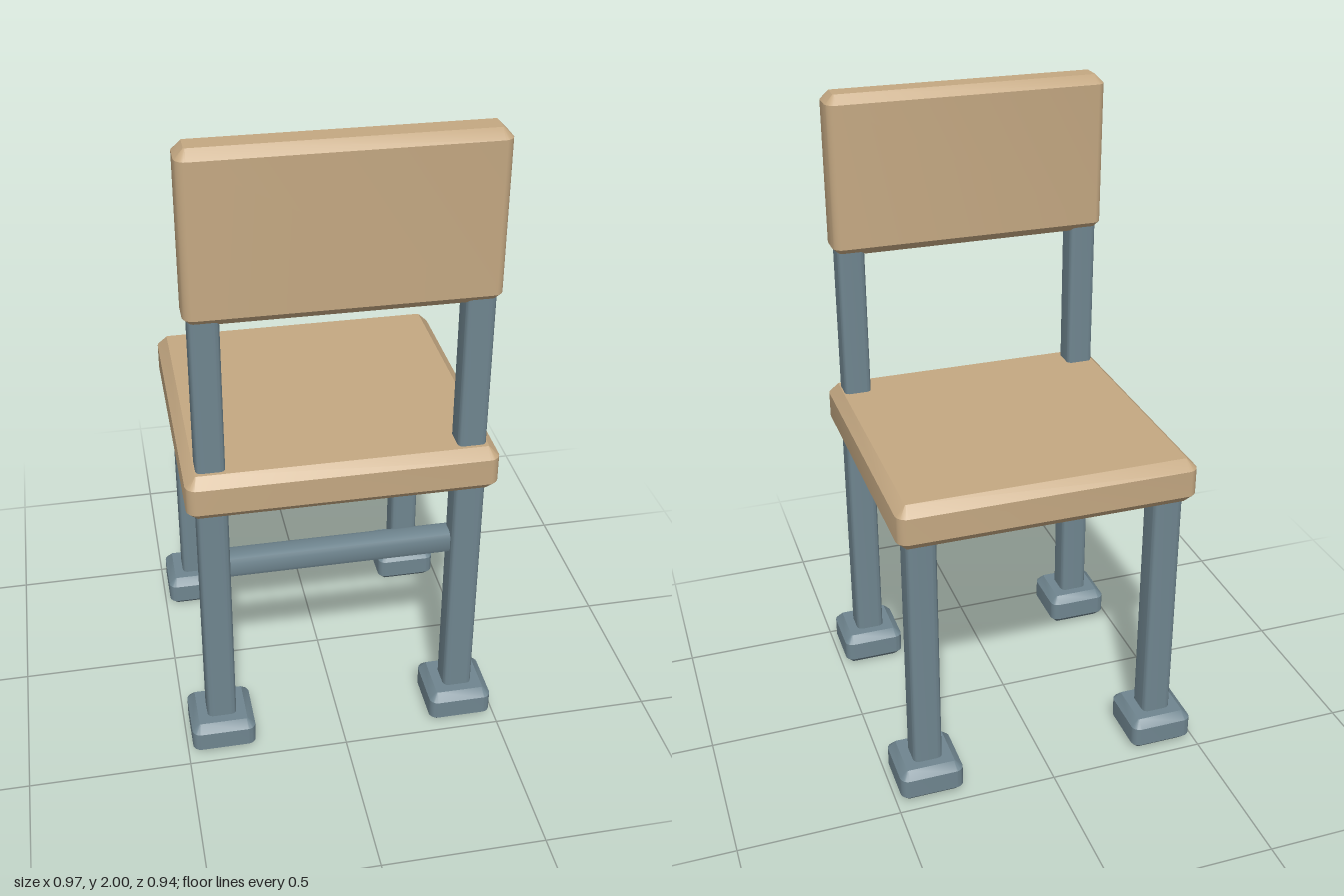
import * as THREE from 'three';
import { toCreasedNormals } from 'three/addons/utils/BufferGeometryUtils.js';

const wood = new THREE.MeshStandardMaterial({ color: 0xc4a882 });
wood.name = 'tan wood';
const metal = new THREE.MeshStandardMaterial({ color: 0x6f858f });
metal.name = 'blue grey metal';

// Rectangle with rounded corners, centred on the origin
function roundedRect(w, d, r) {
  const x = w / 2, y = d / 2, s = new THREE.Shape();
  s.moveTo(-x + r, -y);
  s.lineTo(x - r, -y);
  s.absarc(x - r, -y + r, r, -Math.PI / 2, 0);
  s.lineTo(x, y - r);
  s.absarc(x - r, y - r, r, 0, Math.PI / 2);
  s.lineTo(-x + r, y);
  s.absarc(-x + r, y - r, r, Math.PI / 2, Math.PI);
  s.lineTo(-x, -y + r);
  s.absarc(-x + r, -y + r, r, Math.PI, Math.PI * 1.5);
  return s;
}

// Upright block with rounded vertical edges and chamfered top and bottom
function block(w, h, d, bevel, corner, segments = 3) {
  const shape = roundedRect(w - 2 * bevel, d - 2 * bevel, corner);
  const geo = new THREE.ExtrudeGeometry(shape, {
    depth: h - 2 * bevel, curveSegments: segments, bevelEnabled: bevel > 0,
    bevelSize: bevel, bevelThickness: bevel, bevelSegments: 1,
  });
  geo.center();
  geo.rotateX(-Math.PI / 2);
  return toCreasedNormals(geo, 0.6);
}

export function createModel() {
  const group = new THREE.Group();
  const add = (name, geo, mat, x, y, z) => {
    const mesh = new THREE.Mesh(geo, mat);
    mesh.name = name;
    mesh.position.set(x, y, z);
    group.add(mesh);
    return mesh;
  };

  // Seat and backrest
  add('seat', block(0.926, 0.146, 0.906, 0.031, 0.004), wood, 0, 0.958, 0);
  add('backrest', block(0.884, 0.5, 0.12, 0.027, 0.004), wood, 0, 1.75, 0.368);

  // Legs with feet, and posts carrying the backrest
  const foot = block(0.2, 0.11, 0.197, 0.024, 0.003);
  const leg = block(0.092, 0.8, 0.092, 0, 0.018);
  const post = block(0.086, 0.52, 0.086, 0, 0.016);
  for (const [side, sx] of [['left', 1], ['right', -1]]) {
    for (const [end, z] of [['Back', 0.373], ['Front', -0.373]]) {
      add(side + end + 'Foot', foot, metal, sx * 0.385, 0.055, z);
      add(side + end + 'Leg', leg, metal, sx * 0.385, 0.495, z);
    }
    add(side + 'BackPost', post, metal, sx * 0.385, 1.27, 0.368);
  }

  // Cross rail between the legs under the backrest
  const rail = add('crossRail', block(0.074, 0.7, 0.072, 0, 0.018, 1), metal, 0, 0.667, 0.358);
  rail.rotation.z = Math.PI / 2;
  return group;
}
